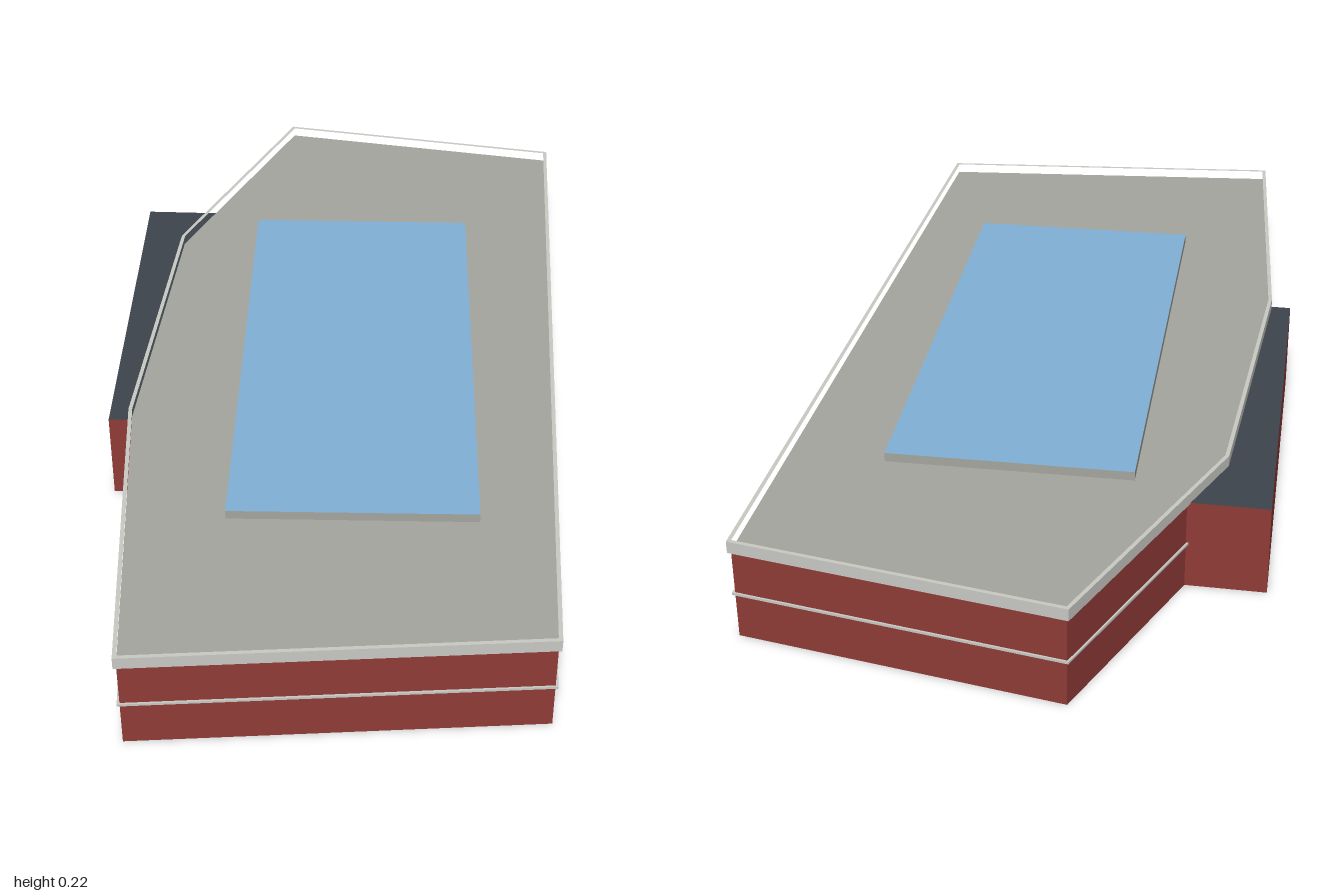
import * as THREE from 'three';

const mat = (name, color, side = THREE.FrontSide) => {
  const m = new THREE.MeshStandardMaterial({ color, side });
  m.name = name;
  return m;
};

// Move every corner of a closed [x, z] outline outwards by d, keeping sharp mitres
function outset(pts, d) {
  const n = pts.length;
  const normal = (a, b) => {
    const l = Math.hypot(b[0] - a[0], b[1] - a[1]);
    return [(b[1] - a[1]) / l, -(b[0] - a[0]) / l];
  };
  return pts.map((p, i) => {
    const u = normal(pts[(i + n - 1) % n], p);
    const v = normal(p, pts[(i + 1) % n]);
    const k = d / (1 + u[0] * v[0] + u[1] * v[1]);
    return [p[0] + (u[0] + v[0]) * k, p[1] + (u[1] + v[1]) * k];
  });
}

const toShape = (pts) => new THREE.Shape(pts.map(([x, z]) => new THREE.Vector2(x, -z)));

// Flat plate lying at height y
function plate(pts, y) {
  return new THREE.ShapeGeometry(toShape(pts)).rotateX(-Math.PI / 2).translate(0, y, 0);
}

// Solid ring following an outline, between two outsets
function ring(pts, inner, outer, y, height) {
  const shape = toShape(outset(pts, outer));
  shape.holes.push(toShape(outset(pts, inner)));
  return new THREE.ExtrudeGeometry(shape, { depth: height, bevelEnabled: false })
    .rotateX(-Math.PI / 2).translate(0, y, 0);
}

// Upright wall faces along an outline
function walls(pts, y0, y1, closed = true) {
  const pos = [];
  const count = closed ? pts.length : pts.length - 1;
  for (let i = 0; i < count; i++) {
    const [ax, az] = pts[i];
    const [bx, bz] = pts[(i + 1) % pts.length];
    pos.push(bx, y0, bz, ax, y0, az, ax, y1, az, bx, y0, bz, ax, y1, az, bx, y1, bz);
  }
  const g = new THREE.BufferGeometry();
  g.setAttribute('position', new THREE.Float32BufferAttribute(pos, 3));
  g.computeVertexNormals();
  return g;
}

export function createModel() {
  const brick = mat('brick red', 0x8f3b36, THREE.DoubleSide);
  const roofGrey = mat('roof grey', 0xa5a59e, THREE.DoubleSide);
  const trim = mat('pale trim', 0xc8c9c3);
  const slate = mat('dark slate', 0x3c444b, THREE.DoubleSide);
  const glass = mat('skylight blue', 0x80b0d6);

  const group = new THREE.Group();
  group.name = 'building';
  const add = (name, geometry, material) => {
    const mesh = new THREE.Mesh(geometry, material);
    mesh.name = name;
    group.add(mesh);
  };

  // Main block, open underneath
  const main = [[-0.163, -0.993], [0.481, -0.889], [0.439, 0.907],
    [-0.354, 0.989], [-0.424, 0.25], [-0.39, -0.443]];
  const top = 0.193;
  add('mainWalls', walls(main, 0, top), brick);
  add('mainRoof', plate(main, top), roofGrey);
  add('parapet', ring(main, -0.002, 0.006, 0.19, 0.025), trim);
  add('floorBand', ring(main, 0.001, 0.005, 0.095, 0.005), trim);

  // Raised skylight with a glazed top
  const skylight = [[-0.22, -0.53], [0.278, -0.539], [0.301, 0.56], [-0.197, 0.572]];
  add('skylightCurb', walls(skylight, top, 0.212), roofGrey);
  add('skylightGlass', plate(skylight, 0.212), glass);

  // Side annex against the right wall
  const annex = [[-0.423, 0.26], [-0.472, 0.26], [-0.491, -0.59], [-0.329, -0.59]];
  add('annexWalls', walls(annex, 0, top - 0.001, false), brick);
  add('annexRoof', plate([...annex, [-0.39, -0.443], [-0.424, 0.25]], top - 0.001), slate);

  return group;
}
